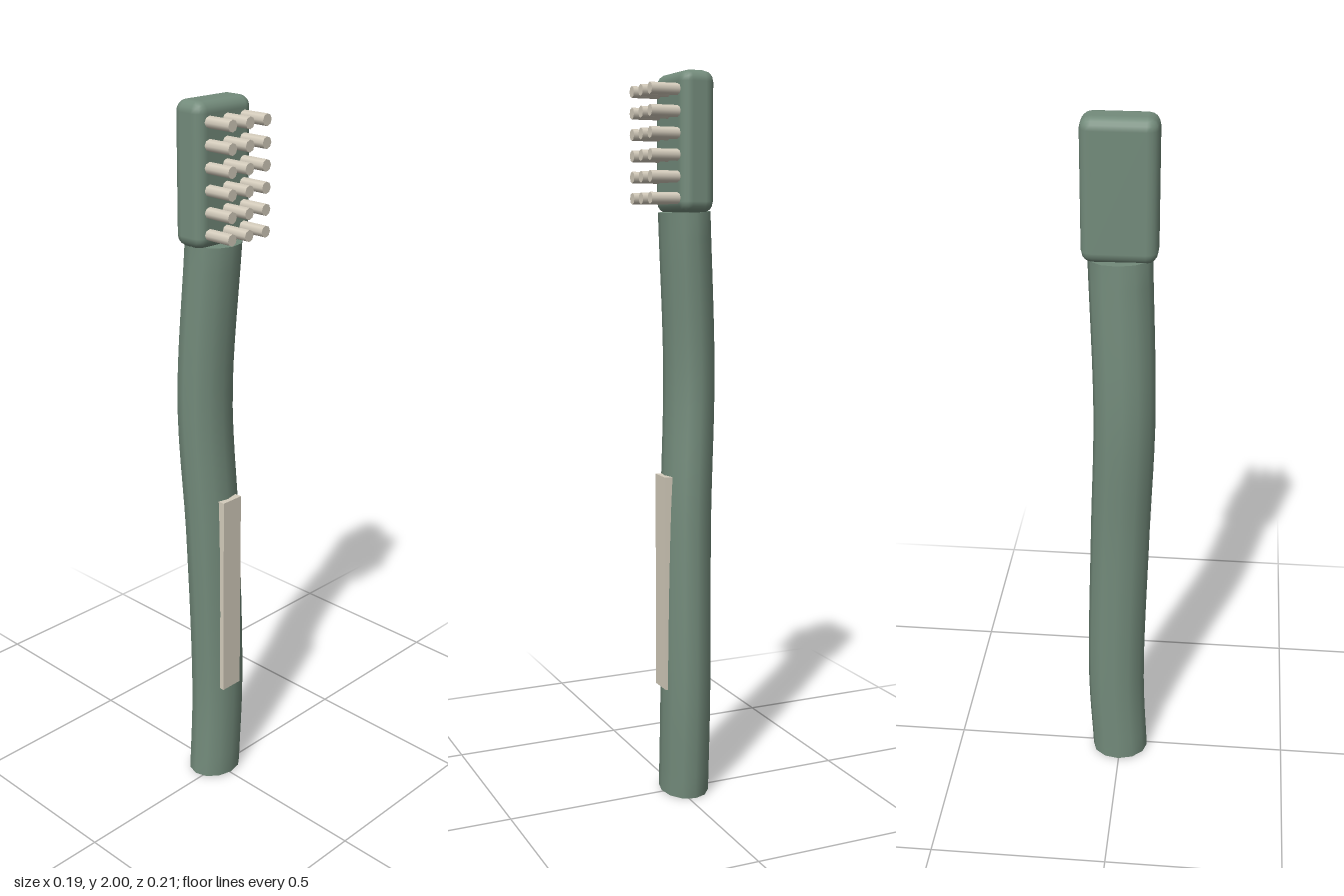
import * as THREE from 'three';
import { RoundedBoxGeometry } from 'three/addons/geometries/RoundedBoxGeometry.js';

const green = new THREE.MeshStandardMaterial({ color: 0x738b7b });
green.name = 'sage green';
const cream = new THREE.MeshStandardMaterial({ color: 0xd4ccbc });
cream.name = 'warm cream';

// Gently bent oval tube with flat ends, swept along a curve
function sweptOval(curve, halfWidth, halfDepth, sides, steps) {
  const pos = [], index = [];
  const addRing = (t) => {
    const c = curve.getPointAt(t), up = curve.getTangentAt(t);
    const side = new THREE.Vector3(1, 0, 0).addScaledVector(up, -up.x).normalize();
    const front = new THREE.Vector3().crossVectors(side, up);
    for (let j = 0; j <= sides; j++) {
      const a = ((j % sides) / sides) * Math.PI * 2;
      const p = c.clone()
        .addScaledVector(side, Math.sin(a) * halfWidth)
        .addScaledVector(front, Math.cos(a) * halfDepth);
      pos.push(p.x, p.y, p.z);
    }
  };
  const row = sides + 1;
  for (let i = 0; i <= steps; i++) addRing(i / steps);
  for (let i = 0; i < steps; i++) {
    for (let j = 0; j < sides; j++) {
      const a = i * row + j, b = i * row + ((j + 1) % sides);
      index.push(a, b, b + row, a, b + row, a + row);
    }
  }
  // End caps on their own rings so the rim stays sharp
  for (const t of [0, 1]) {
    const start = pos.length / 3;
    addRing(t);
    for (let j = 1; j < sides - 1; j++) {
      if (t) index.push(start, start + j, start + j + 1);
      else index.push(start, start + j + 1, start + j);
    }
  }
  const g = new THREE.BufferGeometry();
  g.setAttribute('position', new THREE.Float32BufferAttribute(pos, 3));
  g.setIndex(index);
  g.computeVertexNormals();
  return g;
}

export function createModel() {
  const model = new THREE.Group();
  model.name = 'toothbrush';
  const add = (name, geometry, material, x = 0, y = 0, z = 0, parent = model) => {
    const mesh = new THREE.Mesh(geometry, material);
    mesh.name = name;
    mesh.position.set(x, y, z);
    parent.add(mesh);
    return mesh;
  };

  // Handle
  const path = new THREE.CatmullRomCurve3([
    new THREE.Vector3(0, 0.005, -0.0175),
    new THREE.Vector3(0.012, 0.28, -0.0175),
    new THREE.Vector3(0, 0.8, -0.024),
    new THREE.Vector3(-0.013, 1.2, -0.039),
    new THREE.Vector3(0, 1.636, -0.0185),
  ]);
  add('handle', sweptOval(path, 0.083, 0.068, 12, 24), green);

  // Grip strip let into the front of the handle
  add('gripStrip', new THREE.BoxGeometry(0.068, 0.605, 0.03), cream, 0, 0.617, 0.0375);

  // Head
  add('head', new RoundedBoxGeometry(0.194, 0.368, 0.097, 2, 0.03), green, 0, 1.816, -0.02);

  // Bristles, three columns by six rows
  const bristles = new THREE.Group();
  bristles.name = 'bristles';
  model.add(bristles);
  const tuft = new THREE.CylinderGeometry(0.0155, 0.0155, 0.1, 8).rotateX(Math.PI / 2);
  for (let row = 0; row < 6; row++) {
    for (let col = -1; col <= 1; col++) {
      add('bristle', tuft, cream, col * 0.061, 1.671 + row * 0.0558, 0.057, bristles);
    }
  }
  return model;
}
